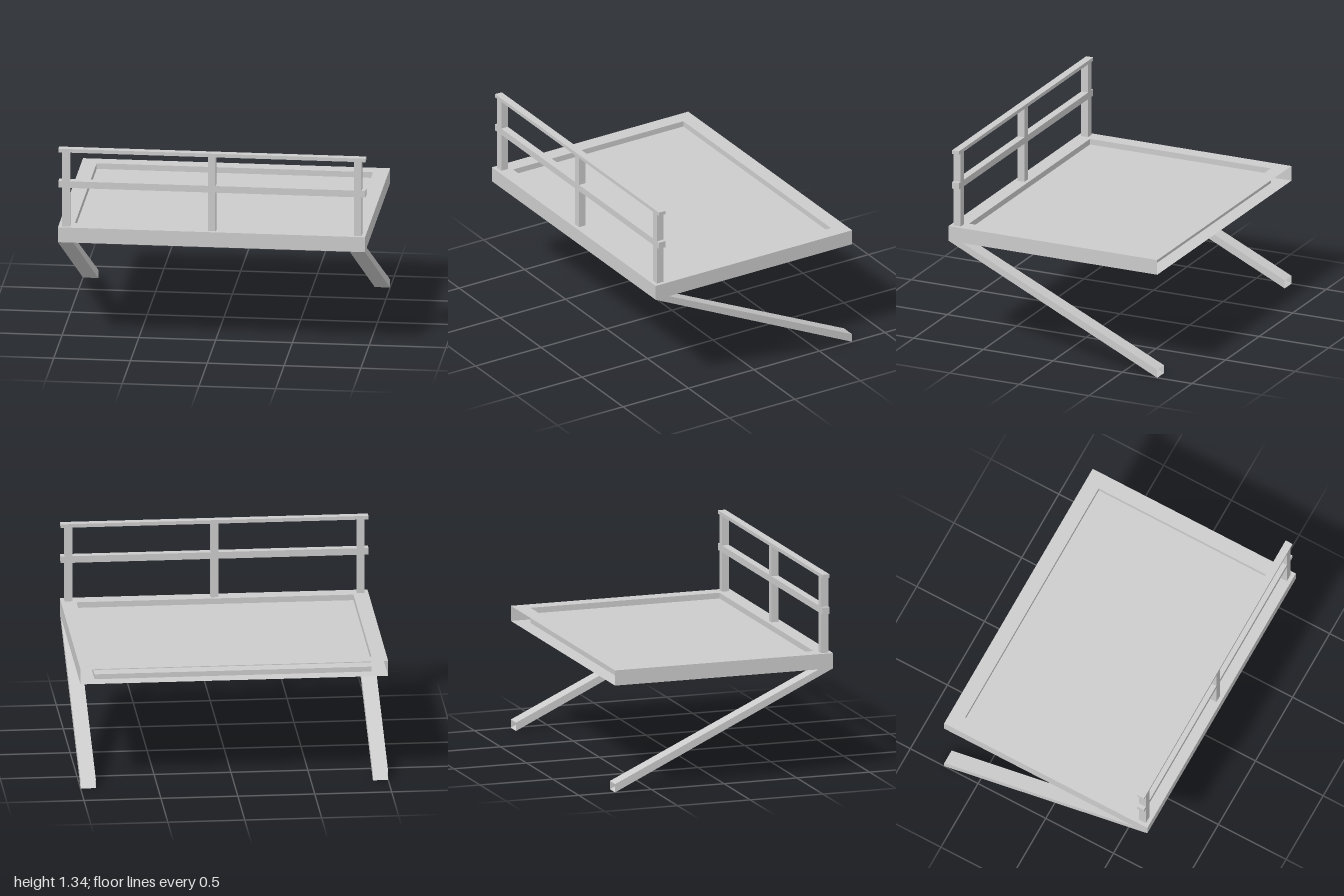
import * as THREE from 'three';

const grey = new THREE.MeshStandardMaterial({ color: 0xcccccc });
const thin = new THREE.MeshStandardMaterial({ color: 0xcccccc, side: THREE.DoubleSide });

// Box that keeps only the listed faces (0 +x, 1 -x, 2 +y, 3 -y, 4 +z, 5 -z)
function openBox(w, h, d, faces) {
  const g = new THREE.BoxGeometry(w, h, d);
  const index = Array.from(g.index.array);
  g.clearGroups();
  g.setIndex(faces.flatMap((f) => index.slice(f * 6, f * 6 + 6)));
  return g;
}

function add(parent, name, geometry, x, y, z, material = grey) {
  const mesh = new THREE.Mesh(geometry, material);
  mesh.name = name;
  mesh.position.set(x, y, z);
  parent.add(mesh);
}

const BOTTOM = 0.709, TOP = 0.81;
const FLOOR_BOTTOM = 0.742, FLOOR_TOP = 0.772;

// Hollow rectangular rim, open at the back, around a floor recessed on both sides
function makeDeck() {
  const deck = new THREE.Group();
  deck.name = 'deck';
  const walls = (name, w, d, low, high, faces) =>
    add(deck, name, openBox(w, high - low, d, faces), 0, (low + high) / 2, 0, thin);
  walls('rimOuterWalls', 2, 1.5, BOTTOM, TOP, [0, 1, 4]);
  walls('rimInnerWallsAboveFloor', 1.8, 1.3, FLOOR_TOP, TOP, [0, 1, 4, 5]);
  walls('rimInnerWallsBelowFloor', 1.8, 1.3, BOTTOM, FLOOR_BOTTOM, [0, 1, 4, 5]);
  walls('floor', 1.8, 1.3, FLOOR_BOTTOM, FLOOR_TOP, [2, 3]);

  const rectangle = (Kind, w, d) => new Kind([
    new THREE.Vector2(-w, -d), new THREE.Vector2(w, -d),
    new THREE.Vector2(w, d), new THREE.Vector2(-w, d),
  ]);
  const ring = rectangle(THREE.Shape, 1, 0.75);
  ring.holes.push(rectangle(THREE.Path, 0.9, 0.65));
  add(deck, 'rimTop', new THREE.ShapeGeometry(ring).rotateX(-Math.PI / 2), 0, TOP, 0, thin);
  add(deck, 'rimBottom', new THREE.ShapeGeometry(ring).rotateX(Math.PI / 2), 0, BOTTOM, 0, thin);
  return deck;
}

// Slanted hollow strut, from the front edge of the deck down to the back
function strutGeometry() {
  const g = openBox(0.1, 1, 1, [0, 1, 2, 3]);
  const p = g.attributes.position;
  for (let i = 0; i < p.count; i++) {
    const upper = p.getY(i) > 0, front = p.getZ(i) > 0;
    p.setY(i, front ? BOTTOM : upper ? 0.055 : 0);
    p.setZ(i, front ? (upper ? 0.65 : 0.75) : -0.75);
  }
  g.computeVertexNormals();
  return g;
}

// Front railing: three posts and two rails
function makeRailing() {
  const railing = new THREE.Group();
  railing.name = 'railing';
  const z = 0.7, depth = 0.05, top = 1.335, railHeight = 0.024;
  const postTop = top - railHeight;
  for (const x of [-0.95, 0, 0.95]) {
    add(railing, 'post', new THREE.BoxGeometry(0.05, postTop - TOP, depth), x, (postTop + TOP) / 2, z);
  }
  add(railing, 'middleRail', new THREE.BoxGeometry(2, 0.045, depth), 0, 1.094, z);
  add(railing, 'topRail', new THREE.BoxGeometry(2, railHeight, depth), 0, top - railHeight / 2, z);
  return railing;
}

export function createModel() {
  const model = new THREE.Group();
  model.name = 'balcony';
  model.add(makeDeck(), makeRailing());
  add(model, 'leftStrut', strutGeometry(), 0.95, 0, 0, thin);
  add(model, 'rightStrut', strutGeometry(), -0.95, 0, 0, thin);
  return model;
}
